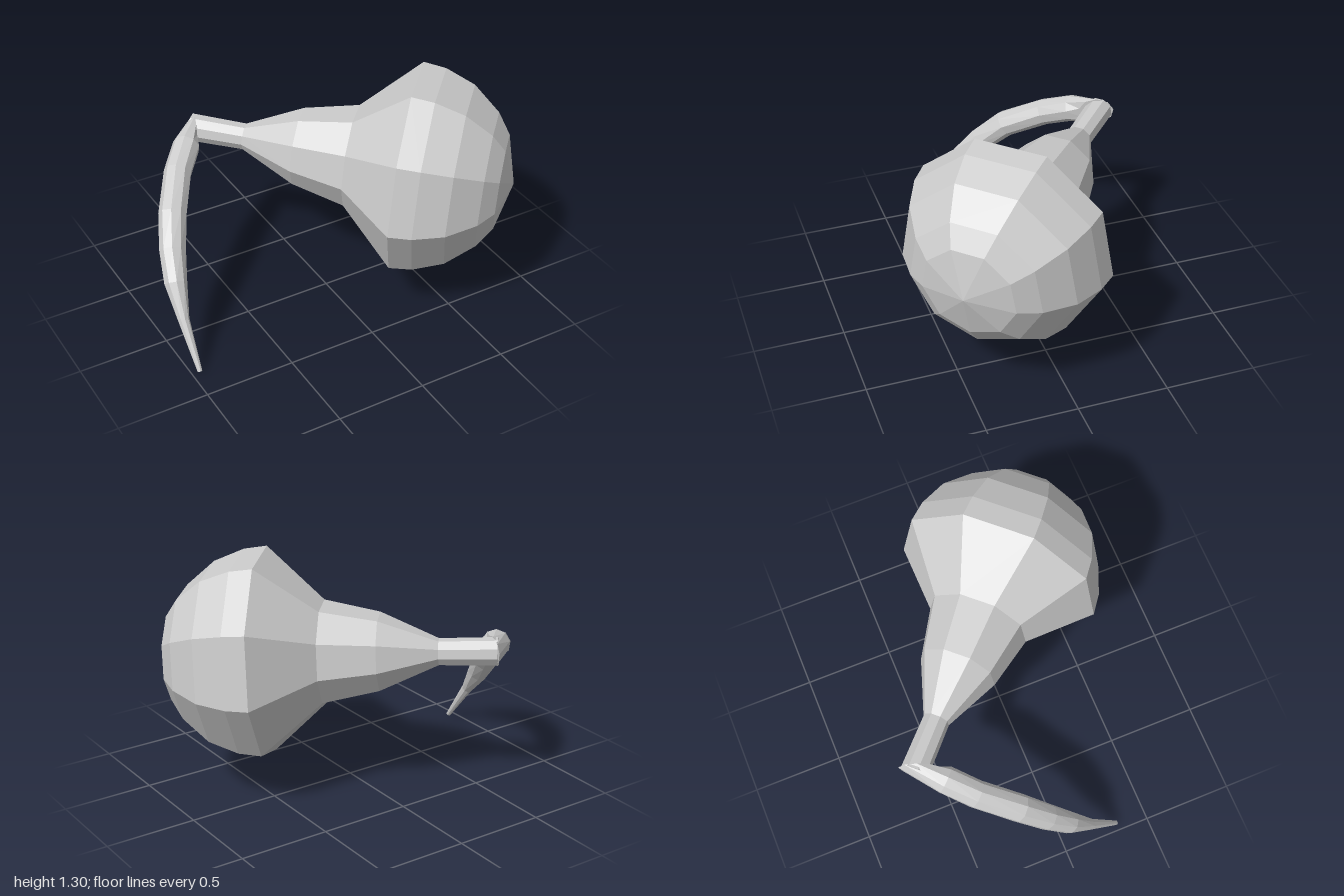
import * as THREE from 'three';

const SIDES = 9;
const UP = new THREE.Vector3(0, 1, 0);

// Skins faceted rings { center, dir, r, w } (w = sideways radius) and closes both ends.
function loft(name, sections, phase, endPoint) {
  const rings = sections.map(({ center, dir, r, w = r }) => {
    const t = dir.clone().normalize();
    const side = new THREE.Vector3().crossVectors(UP, t).normalize();
    const up = new THREE.Vector3().crossVectors(t, side);
    return Array.from({ length: SIDES }, (_, j) => {
      const a = phase + (j / SIDES) * Math.PI * 2;
      return center.clone()
        .addScaledVector(side, Math.cos(a) * w)
        .addScaledVector(up, Math.sin(a) * r);
    });
  });
  const pts = [];
  const last = rings.length - 1;
  for (let j = 0; j < SIDES; j++) {
    const k = (j + 1) % SIDES;
    for (let i = 0; i < last; i++) {
      const a = rings[i][j], b = rings[i][k], c = rings[i + 1][k], d = rings[i + 1][j];
      pts.push(a, b, c, a, c, d);
    }
    pts.push(rings[0][k], rings[0][j], sections[0].center);
    pts.push(rings[last][j], rings[last][k], endPoint);
  }
  const geo = new THREE.BufferGeometry().setFromPoints(pts);
  geo.computeVertexNormals();
  const mesh = new THREE.Mesh(geo, new THREE.MeshStandardMaterial({ color: 0xcccccc, flatShading: true }));
  mesh.name = name;
  return mesh;
}

export function createModel() {
  const group = new THREE.Group();
  group.name = 'gourdWithStem';

  // Bulb and neck: [distance along the axis, radius], neck end first
  const axis = new THREE.Vector3(0.73, -0.06, 0.68).normalize();
  const middle = new THREE.Vector3(0.42, 0.767, 0.165);
  const along = (a) => middle.clone().addScaledVector(axis, a);
  const profile = [
    [-1.23, 0.077], [-0.92, 0.073], [-0.61, 0.215], [-0.31, 0.282], [0, 0.572],
    [0.125, 0.558], [0.29, 0.495], [0.44, 0.37], [0.515, 0.26],
  ];
  group.add(loft('bulbAndNeck',
    profile.map(([a, r]) => ({ center: along(a), dir: axis, r })),
    THREE.MathUtils.degToRad(-11), along(0.58)));

  // Curved stem: [x, y, z, radius], from the elbow down to the tip
  const path = [
    [-0.463, 0.845, -0.647, 0.076], [-0.575, 0.825, -0.535, 0.076], [-0.69, 0.76, -0.41, 0.076],
    [-0.82, 0.645, -0.215, 0.077], [-0.89, 0.52, -0.085, 0.072], [-0.935, 0.395, 0.03, 0.062],
    [-0.957, 0.24, 0.155, 0.031], [-0.957, 0.01, 0.325, 0.013],
  ];
  const points = path.map(([x, y, z]) => new THREE.Vector3(x, y, z));
  const stem = path.map((p, i) => ({
    center: points[i],
    dir: points[Math.min(i + 1, path.length - 1)].clone().sub(points[Math.max(i - 1, 0)]),
    r: p[3],
  }));
  // The first ring is slanted to form the mitred elbow
  stem[0].dir.set(-0.94, 0, -0.35);
  stem[0].w = 0.1;
  group.add(loft('curvedStem', stem, THREE.MathUtils.degToRad(10), points[points.length - 1]));

  return group;
}
